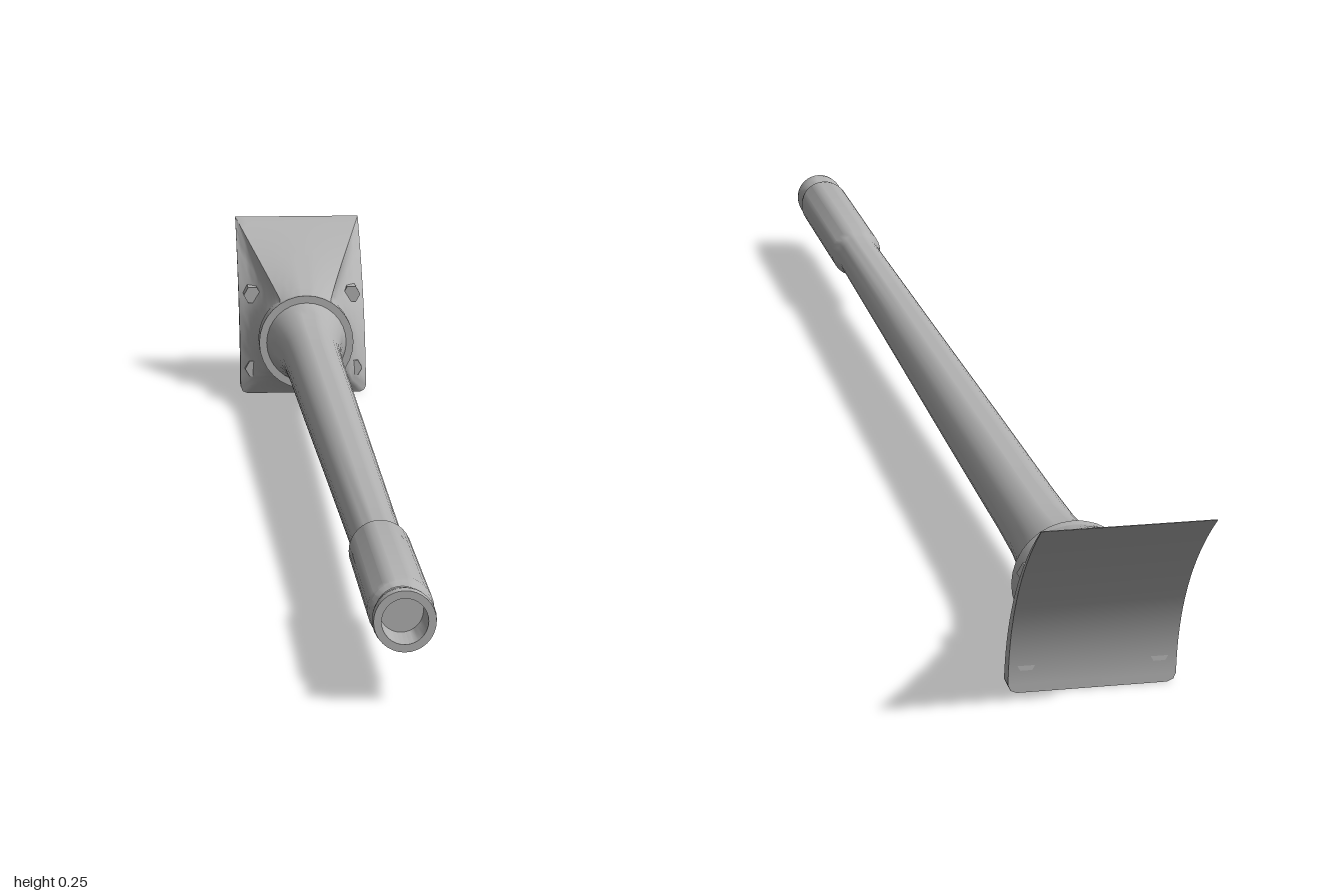
import * as THREE from 'three';
import { toCreasedNormals, mergeVertices } from 'three/addons/utils/BufferGeometryUtils.js';

const AXIS_Y = 0.091;      // height of the barrel axis
const HALF_W = 0.096;      // half width of the mantlet plate
const TOP = 0.247;         // top of the mantlet plate
const CHAMFER = 0.01;      // lower plate corners

// Concave rear surface of the mantlet
const backZ = (y) => -0.84 - 0.16 * (y / TOP) ** 2;

// Surface through rows of points; faces look along (row direction x column direction)
function surface(rows) {
  const n = rows[0].length;
  const index = [];
  for (let i = 0; i < rows.length - 1; i++) {
    for (let j = 0; j < n - 1; j++) {
      const a = i * n + j, c = a + n;
      index.push(a, c, a + 1, a + 1, c, c + 1);
    }
  }
  const geo = new THREE.BufferGeometry().setFromPoints(rows.flat());
  geo.setIndex(index);
  return toCreasedNormals(mergeVertices(geo), 0.6);
}

// Lathe along z from [radius, z] pairs
function turned(points, segments) {
  const geo = new THREE.LatheGeometry(points.map(([r, z]) => new THREE.Vector2(r, z)), segments);
  geo.rotateX(Math.PI / 2);
  return toCreasedNormals(geo, 0.5);
}

// Plate outline, counterclockwise seen from the front, starting at the right side
function plateOutline() {
  const corners = [
    [HALF_W, AXIS_Y], [HALF_W, TOP], [-HALF_W, TOP], [-HALF_W, CHAMFER],
    [-HALF_W + 0.003, 0.003], [-HALF_W + CHAMFER, 0],
    [HALF_W - CHAMFER, 0], [HALF_W - 0.003, 0.003], [HALF_W, CHAMFER], [HALF_W, AXIS_Y],
  ];
  const out = [];
  for (let i = 0; i < corners.length - 1; i++) {
    const [x0, y0] = corners[i], [x1, y1] = corners[i + 1];
    const steps = Math.max(1, Math.round(Math.hypot(x1 - x0, y1 - y0) / 0.014));
    for (let s = 0; s < steps; s++) {
      out.push([x0 + (x1 - x0) * s / steps, y0 + (y1 - y0) * s / steps]);
    }
  }
  out.push(corners[0]);
  return out;
}

export function createModel() {
  const group = new THREE.Group();
  const steel = new THREE.MeshStandardMaterial({ color: 0xb2b2b2 });
  steel.name = 'grey steel';

  const add = (name, geo, x = 0, y = 0, z = 0) => {
    const mesh = new THREE.Mesh(geo, steel);
    mesh.name = name;
    mesh.position.set(x, y, z);
    group.add(mesh);
    return mesh;
  };

  // Tapered tube with a thicker sleeve, flared muzzle and shallow bore
  add('barrel', turned([
    [0.061, -0.745], [0.057, -0.725], [0.051, -0.69], [0.046, -0.65], [0.0425, -0.6],
    [0.0405, -0.5], [0.038, -0.2], [0.034, 0.2], [0.030, 0.635],
    [0.032, 0.65], [0.036, 0.665], [0.036, 0.945],
    [0.0345, 0.955], [0.0295, 0.962], [0.0295, 0.97], [0.0335, 0.982], [0.0345, 0.99], [0.0335, 1],
    [0.025, 1], [0.024, 0.95], [0, 0.95],
  ], 32), 0, AXIS_Y);

  // Ring where the tube enters the mantlet
  add('collar', turned([
    [0.067, -0.8], [0.071, -0.775], [0.071, -0.74], [0.058, -0.74],
  ], 32), 0, AXIS_Y);

  // Mantlet body: round at the collar, flaring into the rectangular plate
  const outline = plateOutline();
  const rows = [];
  const STEPS = 14;
  for (let i = 0; i <= STEPS; i++) {
    const t = i / STEPS;
    rows.push(outline.map(([x, y]) => {
      const angle = Math.atan2(y - AXIS_Y, x);
      const cx = 0.069 * Math.cos(angle);
      const cy = AXIS_Y + 0.069 * Math.sin(angle);
      const up = THREE.MathUtils.clamp((y - 0.11) / (TOP - 0.11), 0, 1);
      const flare = t ** THREE.MathUtils.lerp(3.6, 1.15, up);
      const frontZ = backZ(y) + 0.02 * (1 - y / TOP) + 0.002;
      return new THREE.Vector3(
        THREE.MathUtils.lerp(cx, x, flare),
        THREE.MathUtils.lerp(cy, y, flare),
        THREE.MathUtils.lerp(-0.745, frontZ, t));
    }));
  }
  rows.push(outline.map(([x, y]) => new THREE.Vector3(x, y, backZ(y))));
  add('mantlet', surface(rows));

  // Concave rear face of the plate
  const levels = [0, 0.003, CHAMFER];
  for (let i = 1; i <= 16; i++) levels.push(CHAMFER + (TOP - CHAMFER) * i / 16);
  add('mantletRearFace', surface(levels.map((y) => {
    const inset = y === 0 ? CHAMFER : y === 0.003 ? 0.003 : 0;
    return [-1, 0, 1].map((s) => new THREE.Vector3(s * (HALF_W - inset), y, backZ(y)));
  })));

  // Hexagonal bolts on the plate flanks
  const boltGeo = toCreasedNormals(
    new THREE.CylinderGeometry(0.0135, 0.0135, 0.034, 6).rotateX(Math.PI / 2).rotateZ(Math.PI / 6), 0.3);
  for (const side of [-1, 1]) {
    add('upperBolt', boltGeo, side * 0.076, 0.146, -0.868);
    add('lowerBolt', boltGeo, side * 0.076, 0.039, -0.826);
  }
  return group;
}
